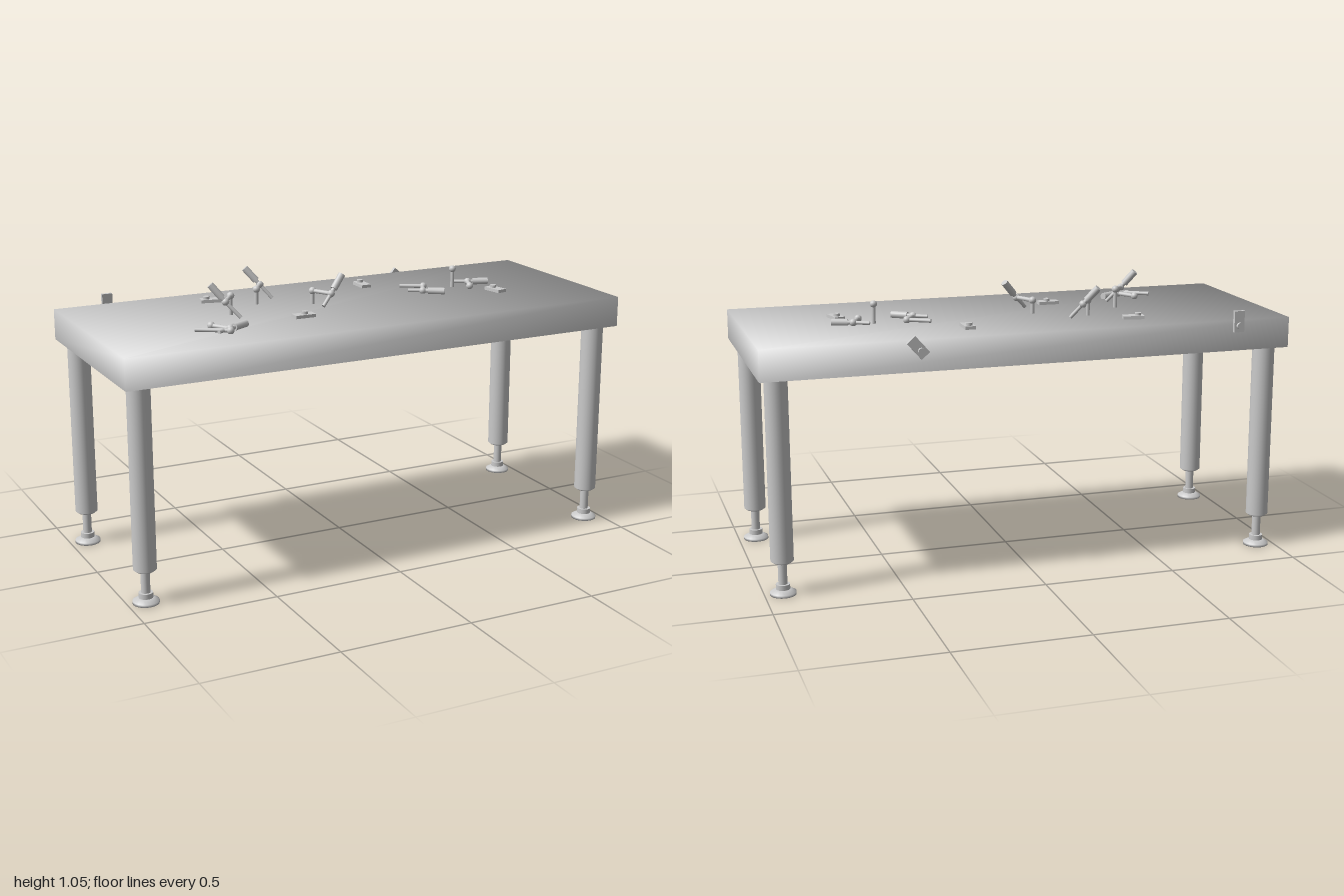
import * as THREE from 'three';

const grey = new THREE.MeshStandardMaterial({ color: 0xcccccc });
const grey2 = new THREE.MeshStandardMaterial({ color: 0xcccccc, side: THREE.DoubleSide });
const TOP = 0.915, V = (a) => new THREE.Vector3(...a);

function add(parent, name, geometry, material = grey) {
  const mesh = new THREE.Mesh(geometry, material);
  mesh.name = name;
  parent.add(mesh);
  return mesh;
}

// Cylinder running between two points
function bar(parent, name, a, b, r) {
  const p = V(a), q = V(b), d = q.clone().sub(p);
  const m = add(parent, name, new THREE.CylinderGeometry(r, r, d.length(), 12));
  m.position.copy(p).add(q).multiplyScalar(0.5);
  m.quaternion.setFromUnitVectors(new THREE.Vector3(0, 1, 0), d.normalize());
}

function ball(parent, name, p, r = 0.014) {
  add(parent, name, new THREE.SphereGeometry(r, 14, 10)).position.set(...p);
}

// Hollow table top, open below, with normals blended around its corners
function tableTop() {
  const pos = [], nor = [];
  for (const y of [0.8, TOP])
    for (const [sx, sz] of [[-1, 1], [1, 1], [1, -1], [-1, -1]]) {
      pos.push(sx, y, sz > 0 ? 0.404 : -0.38);
      nor.push(...V([sx, y === TOP ? 1 : 0, sz]).normalize().toArray());
    }
  const index = [4, 5, 6, 4, 6, 7];
  for (let i = 0; i < 4; i++) {
    const j = (i + 1) % 4;
    index.push(i, j, j + 4, i, j + 4, i + 4);
  }
  const g = new THREE.BufferGeometry();
  g.setAttribute('position', new THREE.Float32BufferAttribute(pos, 3));
  g.setAttribute('normal', new THREE.Float32BufferAttribute(nor, 3));
  g.setIndex(index);
  return g;
}

// Leg tube, threaded stem and levelling foot
function leg(x, z) {
  const g = new THREE.Group();
  g.name = 'leg';
  const lathe = (name, pts, seg) =>
    add(g, name, new THREE.LatheGeometry(pts.map(([r, y]) => new THREE.Vector2(r, y)), seg), grey2);
  lathe('legTube', [[0, 0.121], [0.032, 0.121], [0.042, 0.129], [0.042, 0.913]], 24);
  add(g, 'stem', new THREE.CylinderGeometry(0.0165, 0.0165, 0.1, 16)).position.y = 0.08;
  add(g, 'collar', new THREE.CylinderGeometry(0.026, 0.026, 0.02, 16)).position.y = 0.03;
  lathe('foot', [[0, 0], [0.048, 0], [0.048, 0.01], [0.028, 0.021], [0, 0.021]], 20);
  g.position.set(x, 0, z);
  return g;
}

// Small base plate with a round button; its underside lies at y = 0
function plate(shift) {
  const g = new THREE.Group();
  g.name = 'plate';
  add(g, 'plateBody', new THREE.BoxGeometry(0.08, 0.014, 0.04)).position.y = 0.007;
  add(g, 'button', new THREE.CylinderGeometry(0.012, 0.012, 0.012, 16)).position.set(shift, 0.018, 0);
  return g;
}

// Jointed arm: a rod from the elbow to the joint, and a grip passing through the joint
function arm(elbow, joint, tip, end) {
  const g = new THREE.Group();
  g.name = 'arm';
  bar(g, 'rod', elbow, joint, 0.008);
  ball(g, 'elbow', elbow);
  ball(g, 'joint', joint);
  bar(g, 'thinTip', joint, tip, 0.007);
  const mid = V(joint).lerp(V(end), 0.25).toArray();
  bar(g, 'gripNeck', joint, mid, 0.008);
  bar(g, 'grip', mid, end, 0.0135);
  return g;
}

// Post with a ball head
function post(head, foot) {
  const g = new THREE.Group();
  g.name = 'post';
  bar(g, 'postShaft', head, foot, 0.0075);
  ball(g, 'postHead', head, 0.0135);
  return g;
}

export function createModel() {
  const model = new THREE.Group();
  add(model, 'tableTop', tableTop(), grey2);
  for (const x of [-0.933, 0.933]) for (const z of [-0.311, 0.337]) model.add(leg(x, z));

  // Plates lying on the top
  for (const [x, z, turn, shift] of [
    [-0.43, -0.23, -0.22, -0.018], [0.21, -0.215, Math.PI / 2, 0.018],
    [-0.22, 0.15, 0, 0.004], [0.635, 0.098, Math.PI / 2 + 0.2, 0.012],
  ]) {
    const p = plate(shift);
    p.position.set(x, TOP - 0.002, z);
    p.rotation.y = turn;
    model.add(p);
  }

  // Plates fixed to the back edge
  for (const [x, y, tilt] of [[-0.79, 0.912, Math.PI / 2], [0.44, 0.89, 0.85]]) {
    const holder = new THREE.Group();
    holder.name = 'backPlate';
    const p = plate(-0.015);
    p.rotation.x = -Math.PI / 2;
    holder.add(p);
    holder.rotation.z = tilt;
    holder.position.set(x, y, -0.38);
    model.add(holder);
  }

  // Standing arms on posts: elbow, joint, thin tip, grip end
  for (const a of [
    [[-0.445, 0.987, -0.002], [-0.492, 0.982, 0.062], [-0.445, 0.925, 0.092], [-0.54, 1.045, 0.037]],
    [[-0.29, 0.972, -0.118], [-0.245, 0.972, -0.187], [-0.205, 0.92, -0.163], [-0.295, 1.035, -0.215]],
    [[-0.1, 0.966, -0.025], [-0.06, 0.966, 0.052], [-0.1, 0.925, 0.068], [-0.006, 1.03, 0.033]],
  ]) {
    model.add(arm(...a));
    const [x, y, z] = a[0];
    model.add(post(a[0], [x, y - 0.12, z]));
  }
  model.add(post([0.52, 0.988, -0.038], [0.52, 0.87, -0.038]));

  // Arms and posts lying flat
  const y = TOP + 0.011;
  for (const a of [
    [[-0.588, y, 0.155], [-0.545, y, 0.228], [-0.6, y, 0.255], [-0.465, y, 0.182]],
    [[0.4, y, -0.06], [0.36, y, 0.008], [0.31, y, -0.02], [0.43, y, 0.058]],
    [[0.567, y, 0.018], [0.6, y, -0.053], [0.545, y, -0.083], [0.675, y, -0.025]],
  ]) model.add(arm(...a));
  model.add(post([-0.555, y, 0.255], [-0.662, y, 0.187]));
  model.add(post([0.4, y, -0.06], [0.32, y, -0.107]));
  return model;
}
